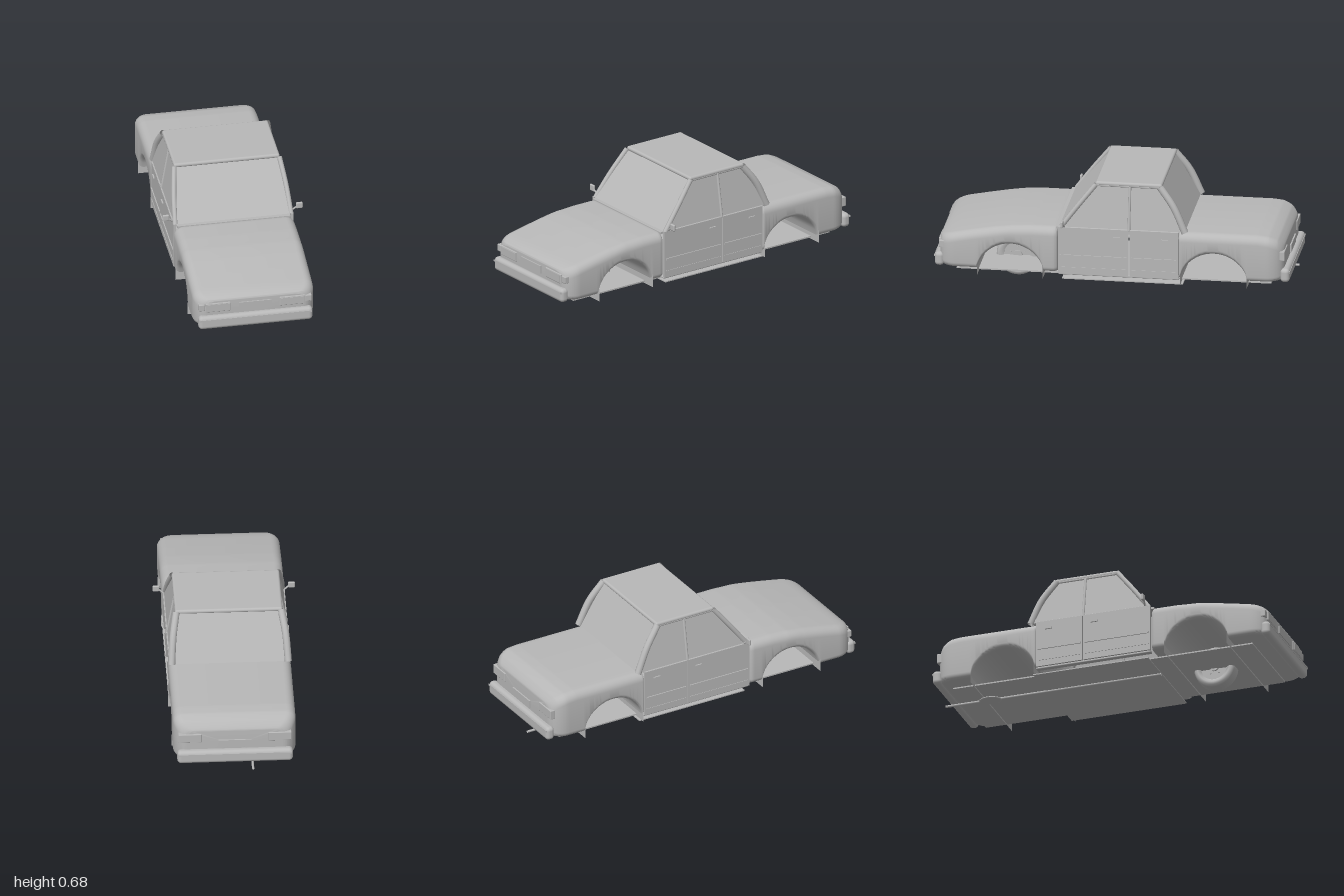
import * as THREE from 'three';
import { toCreasedNormals } from 'three/addons/utils/BufferGeometryUtils.js';
import { RoundedBoxGeometry } from 'three/addons/geometries/RoundedBoxGeometry.js';

const V = (x, y, z) => new THREE.Vector3(x, y, z);
const grey = new THREE.MeshStandardMaterial({ color: 0xb8b8b8, side: THREE.DoubleSide });
grey.name = 'bodyGrey';

// Straight-line lookup in a short list of [z, value] pairs, ascending z
function lookup(list, z) {
  for (let i = 1; i < list.length; i++) {
    const [z0, v0] = list[i - 1], [z1, v1] = list[i];
    if (z <= z1) return v0 + (v1 - v0) * Math.max(0, (z - z0) / (z1 - z0));
  }
  return list[list.length - 1][1];
}

// Rounded rectangle section, counter-clockwise seen from +z
function section(w, bottom, top, z) {
  const pts = [], h = top - bottom;
  const rt = Math.min(0.05, h * 0.45), rb = Math.min(0.03, h * 0.35), n = 6;
  const corners = [[w - rb, bottom + rb, rb, -0.5], [w - rt, top - rt, rt, 0],
    [-w + rt, top - rt, rt, 0.5], [-w + rb, bottom + rb, rb, 1]];
  for (const [cx, cy, r, a] of corners)
    for (let i = 0; i <= n; i++) {
      const t = Math.PI * (a + 0.5 * i / n);
      pts.push(V(cx + r * Math.cos(t), cy + r * Math.sin(t), z));
    }
  return pts;
}

// Skin a row of sections and cap both ends
function loft(sections) {
  const n = sections[0].length, last = sections.length - 1, idx = [], pts = sections.flat();
  for (let i = 0; i < last; i++)
    for (let j = 0; j < n; j++) {
      const k = (j + 1) % n, a = i * n + j, b = i * n + k;
      idx.push(a, b, b + n, a, b + n, a + n);
    }
  for (const i of [0, last]) {
    const c = pts.length;
    pts.push(sections[i].reduce((s, p) => s.add(p), V(0, 0, 0)).divideScalar(n));
    for (let j = 0; j < n; j++) {
      const a = i * n + j, b = i * n + (j + 1) % n;
      idx.push(c, ...(i ? [a, b] : [b, a]));
    }
  }
  const g = new THREE.BufferGeometry().setFromPoints(pts);
  g.setIndex(idx);
  return toCreasedNormals(g, 0.7);
}

// Body end with a wheel arch running right through it
function bodyEnd(z0, z1, r0, r1, tops, archZ, archHalf) {
  const inset = (e, r) => e >= r ? 0 : 1 - Math.sqrt(1 - ((r - e) / r) ** 2);
  const list = [], n = 100;
  for (let i = 0; i <= n; i++) {
    const z = z0 + (z1 - z0) * (0.5 - 0.5 * Math.cos(Math.PI * i / n));
    const a = inset(z - z0, r0), b = inset(z1 - z, r1);
    const t = Math.abs(z - archZ) / archHalf;
    const arch = t < 1 ? 0.15 * Math.pow(1 - t ** 2, 0.6) : 0;
    const round = a * r0 + b * r1;
    list.push(section(0.342 - round * 0.75, 0.14 + arch + round * 0.15, lookup(tops, z) - round * 0.25, z));
  }
  return loft(list);
}

export function createModel() {
  const car = new THREE.Group();
  car.name = 'saloonCar';

  const add = (name, geo, x = 0, y = 0, z = 0) => {
    const m = new THREE.Mesh(geo, grey);
    m.name = name;
    m.position.set(x, y, z);
    car.add(m);
    return m;
  };
  const box = (name, w, h, d, x, y, z) => add(name, new THREE.BoxGeometry(w, h, d), x, y, z);
  const rbox = (name, w, h, d, r, x, y, z) => add(name, new RoundedBoxGeometry(w, h, d, 4, r), x, y, z);
  const tube = (name, pts, r) =>
    add(name, new THREE.TubeGeometry(new THREE.CatmullRomCurve3(pts), 16, r, 10));
  // Flat pane from a convex outline
  const pane = (name, pts) => {
    const g = new THREE.BufferGeometry().setFromPoints(pts), idx = [];
    for (let i = 1; i < pts.length - 1; i++) idx.push(0, i, i + 1);
    g.setIndex(idx);
    g.computeVertexNormals();
    add(name, g);
  };

  // Bonnet and boot
  add('frontBody', bodyEnd(0.305, 0.97, 0.025, 0.09,
    [[0.3, 0.402], [0.45, 0.402], [0.56, 0.396], [0.66, 0.383], [0.78, 0.361], [0.9, 0.337], [0.97, 0.325]], 0.57, 0.185));
  add('rearBody', bodyEnd(-0.965, -0.378, 0.1, 0.012,
    [[-0.965, 0.36], [-0.93, 0.385], [-0.88, 0.4], [-0.82, 0.406], [-0.37, 0.406]], -0.575, 0.187));

  // Roof, windscreen and rear window
  rbox('roof', 0.6, 0.025, 0.375, 0.012, 0, 0.664, -0.092);
  pane('windscreen', [V(-0.325, 0.408, 0.295), V(0.325, 0.408, 0.295), V(0.29, 0.655, 0.09), V(-0.29, 0.655, 0.09)]);
  pane('rearWindow', [V(0.31, 0.405, -0.41), V(-0.31, 0.405, -0.41), V(-0.285, 0.655, -0.275), V(0.285, 0.655, -0.275)]);
  box('cowl', 0.64, 0.012, 0.03, 0, 0.4, 0.3);

  for (const s of [1, -1]) {
    const side = s > 0 ? 'left' : 'right';
    // Doors, mouldings, handles and sill
    for (const [name, za, zb, handle] of [['FrontDoor', 0.3, -0.096, -0.03], ['RearDoor', -0.102, -0.375, -0.3]]) {
      const len = za - zb, mid = (za + zb) / 2;
      box(side + name, 0.014, 0.272, len, s * 0.333, 0.274, mid);
      box(side + name + 'Moulding', 0.008, 0.01, len - 0.02, s * 0.342, 0.245, mid);
      box(side + name + 'Crease', 0.004, 0.004, len - 0.02, s * 0.341, 0.175, mid);
      box(side + name + 'Handle', 0.01, 0.008, 0.04, s * 0.343, 0.362, handle);
    }
    rbox(side + 'Sill', 0.03, 0.014, 0.68, 0.006, s * 0.315, 0.133, -0.04);

    // Side windows leaning inwards, with frames and pillars
    const lo = (z) => V(s * 0.334, 0.408, z), hi = (z) => V(s * 0.293, 0.655, z);
    pane(side + 'FrontWindow', [lo(0.285), lo(-0.1), hi(-0.1), hi(0.09)]);
    pane(side + 'RearWindow', [lo(-0.1), lo(-0.39), V(s * 0.312, 0.54, -0.345), hi(-0.27), hi(-0.1)]);
    tube(side + 'CentrePillar', [lo(-0.098), hi(-0.098)], 0.008);
    tube(side + 'WindowSill', [lo(0.28), lo(-0.375)], 0.005);
    tube(side + 'RoofRail', [hi(0.09), hi(-0.27)], 0.007);
    tube(side + 'FrontPillar', [V(s * 0.328, 0.405, 0.288), V(s * 0.318, 0.53, 0.195), V(s * 0.298, 0.66, 0.092)], 0.014);
    tube(side + 'RearPillar', [V(s * 0.325, 0.408, -0.412), V(s * 0.314, 0.55, -0.348), V(s * 0.293, 0.66, -0.268)], 0.02);

    // Door mirror
    rbox(side + 'Mirror', 0.038, 0.038, 0.014, 0.0065, s * 0.378, 0.443, 0.272);
    tube(side + 'MirrorArm', [V(s * 0.365, 0.437, 0.272), V(s * 0.35, 0.425, 0.27), V(s * 0.33, 0.408, 0.265)], 0.005);

    // Lamps
    rbox(side + 'Headlamp', 0.145, 0.055, 0.02, 0.004, s * 0.21, 0.266, 0.966);
    box(side + 'HeadlampGlass', 0.13, 0.043, 0.004, s * 0.21, 0.266, 0.977);
    rbox(side + 'Indicator', 0.036, 0.04, 0.035, 0.004, s * 0.302, 0.268, 0.955);
    rbox(side + 'TailLamp', 0.13, 0.055, 0.03, 0.004, s * 0.25, 0.292, -0.956);
  }

  // Number plates and bumpers
  for (const [end, s, y] of [['front', 1, 0.263], ['rear', -1, 0.258]]) {
    box(end + 'Plate', 0.185, 0.044, 0.008, 0, y, s * 0.973);
    rbox(end + 'Bumper', 0.645, 0.08, 0.052, 0.022, 0, 0.178, s * 0.972);
    box(end + 'BumperStrip', 0.63, 0.01, 0.005, 0, 0.197, s * 0.9975);
  }

  // Floor plates and the cross panels at both ends of each arch
  box('floor', 0.54, 0.008, 1.77, 0, 0.115, -0.005);
  box('cabinFloor', 0.64, 0.006, 0.68, 0, 0.101, -0.06);
  for (const z of [0.755, 0.385, -0.388, -0.762]) {
    const panel = new THREE.PlaneGeometry(0.69, 0.075);
    add('archPanel', panel, 0, 0.14, z);
  }

  // Exhaust
  tube('exhaustPipe', [V(-0.1, 0.094, 0.28), V(-0.1, 0.094, -0.4), V(-0.1, 0.094, -0.995)], 0.007);
  add('silencer', new THREE.SphereGeometry(1, 24, 12), -0.1, 0.092, -0.73).scale.set(0.05, 0.011, 0.065);

  // Single wheel under the bonnet
  const profile = [[0.078, -0.04], [0.095, -0.049], [0.11, -0.045], [0.119, -0.032], [0.122, 0],
    [0.119, 0.032], [0.11, 0.045], [0.095, 0.049], [0.078, 0.04], [0.078, -0.04]]
    .map(([r, y]) => new THREE.Vector2(r, y));
  const wheel = new THREE.Group();
  wheel.name = 'wheel';
  const part = (name, geo, x = 0, y = 0, z = 0) => {
    const m = new THREE.Mesh(geo, grey);
    m.name = name;
    m.position.set(x, y, z);
    wheel.add(m);
  };
  part('tyre', new THREE.LatheGeometry(profile, 48));
  part('rim', new THREE.CylinderGeometry(0.079, 0.079, 0.06, 40));
  part('hub', new THREE.CylinderGeometry(0.025, 0.025, 0.078, 24));
  for (let i = 0; i < 5; i++) {
    const a = i * Math.PI * 0.4;
    part('wheelBolt', new THREE.CylinderGeometry(0.006, 0.006, 0.068, 8), 0.042 * Math.cos(a), 0, 0.042 * Math.sin(a));
  }
  wheel.rotation.z = Math.PI / 2;
  wheel.position.set(0, 0.122, 0.57);
  car.add(wheel);

  return car;
}
